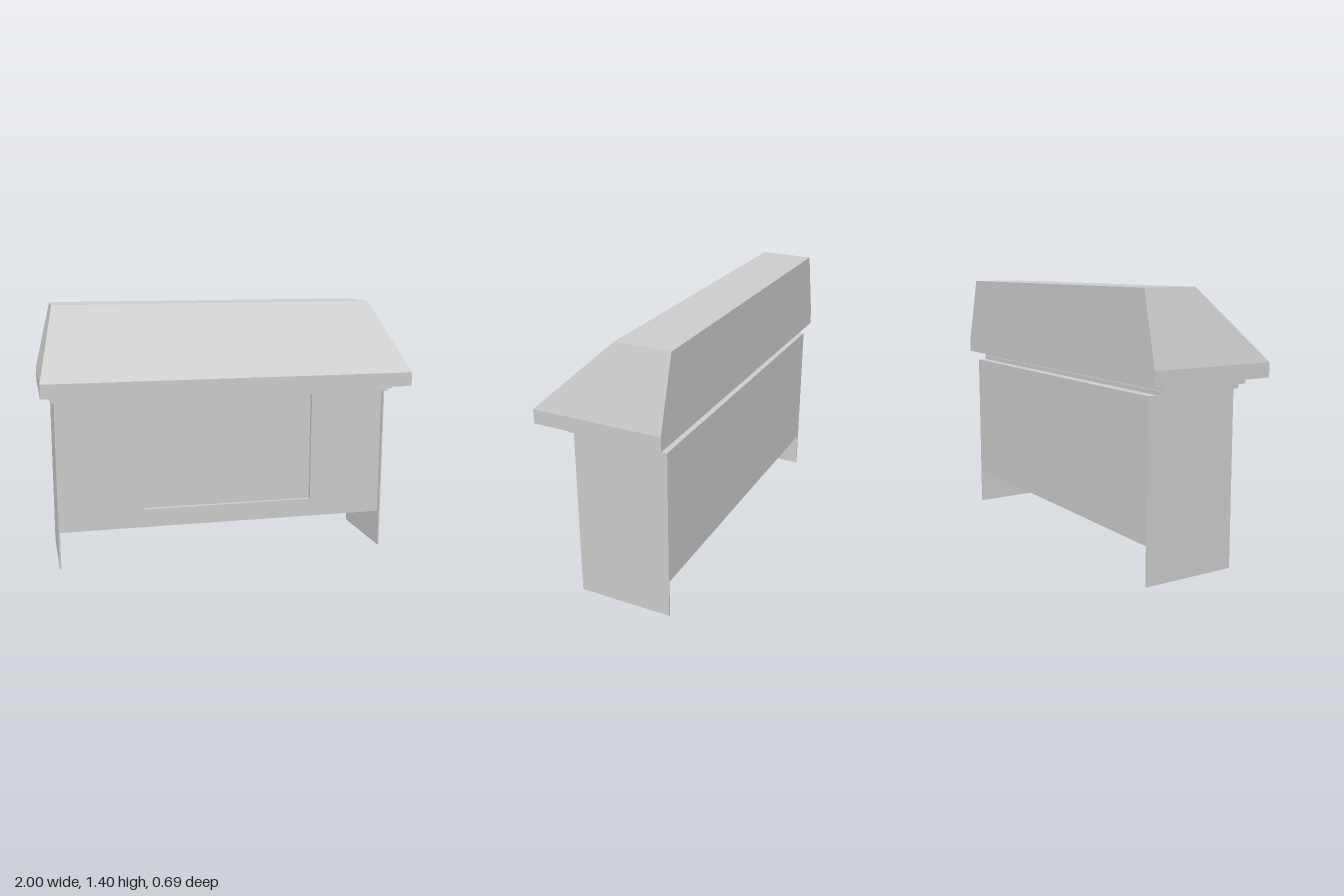
import * as THREE from 'three';

const material = new THREE.MeshStandardMaterial({ color: 0xcccccc, flatShading: true });

// Box given by its min and max on each axis
function block(name, [x0, x1], [y0, y1], [z0, z1]) {
  const geometry = new THREE.BoxGeometry(x1 - x0, y1 - y0, z1 - z0);
  geometry.translate((x0 + x1) / 2, (y0 + y1) / 2, (z0 + z1) / 2);
  const mesh = new THREE.Mesh(geometry, material);
  mesh.name = name;
  return mesh;
}

export function createModel() {
  const group = new THREE.Group();

  // Thin side walls that reach the ground
  group.add(block('rightSideWall', [-0.928, -0.92], [0, 0.912], [-0.327, 0.18]));
  group.add(block('leftSideWall', [0.904, 0.912], [0, 0.912], [-0.327, 0.18]));

  // Raised cabinet body
  group.add(block('body', [-0.92, 0.904], [0.2, 0.912], [-0.327, 0.135]));

  // U-shaped front frame around the recessed centre panel
  const outline = [
    [-0.92, 0.2], [0.904, 0.2], [0.904, 0.912], [0.49, 0.912],
    [0.49, 0.3], [-0.47, 0.3], [-0.47, 0.912], [-0.92, 0.912],
  ].map(([x, y]) => new THREE.Vector2(x, y));
  const frameGeometry = new THREE.ExtrudeGeometry(new THREE.Shape(outline), { depth: 0.025, bevelEnabled: false });
  frameGeometry.translate(0, 0, 0.135);
  const frame = new THREE.Mesh(frameGeometry, material);
  frame.name = 'frontFrame';
  group.add(frame);

  // Stepped moulding under the eaves
  group.add(block('lowerMoulding', [-0.943, 0.925], [0.912, 0.933], [-0.275, 0.197]));
  group.add(block('upperMoulding', [-0.953, 0.938], [0.933, 0.96], [-0.267, 0.234]));

  // Eaves slab
  group.add(block('eaves', [-1, 1], [0.96, 1.035], [-0.343, 0.343]));

  // Roof: a box with its top drawn in at the front and ends, upright at the back
  const roof = block('roof', [-1, 1], [1.035, 1.402], [-0.343, 0.343]);
  const position = roof.geometry.attributes.position;
  for (let i = 0; i < position.count; i++) {
    if (position.getY(i) < 1.2) continue;
    position.setX(i, position.getX(i) < 0 ? -0.912 : 0.89);
    if (position.getZ(i) > 0) position.setZ(i, -0.052);
  }
  roof.geometry.computeVertexNormals();
  group.add(roof);

  return group;
}
